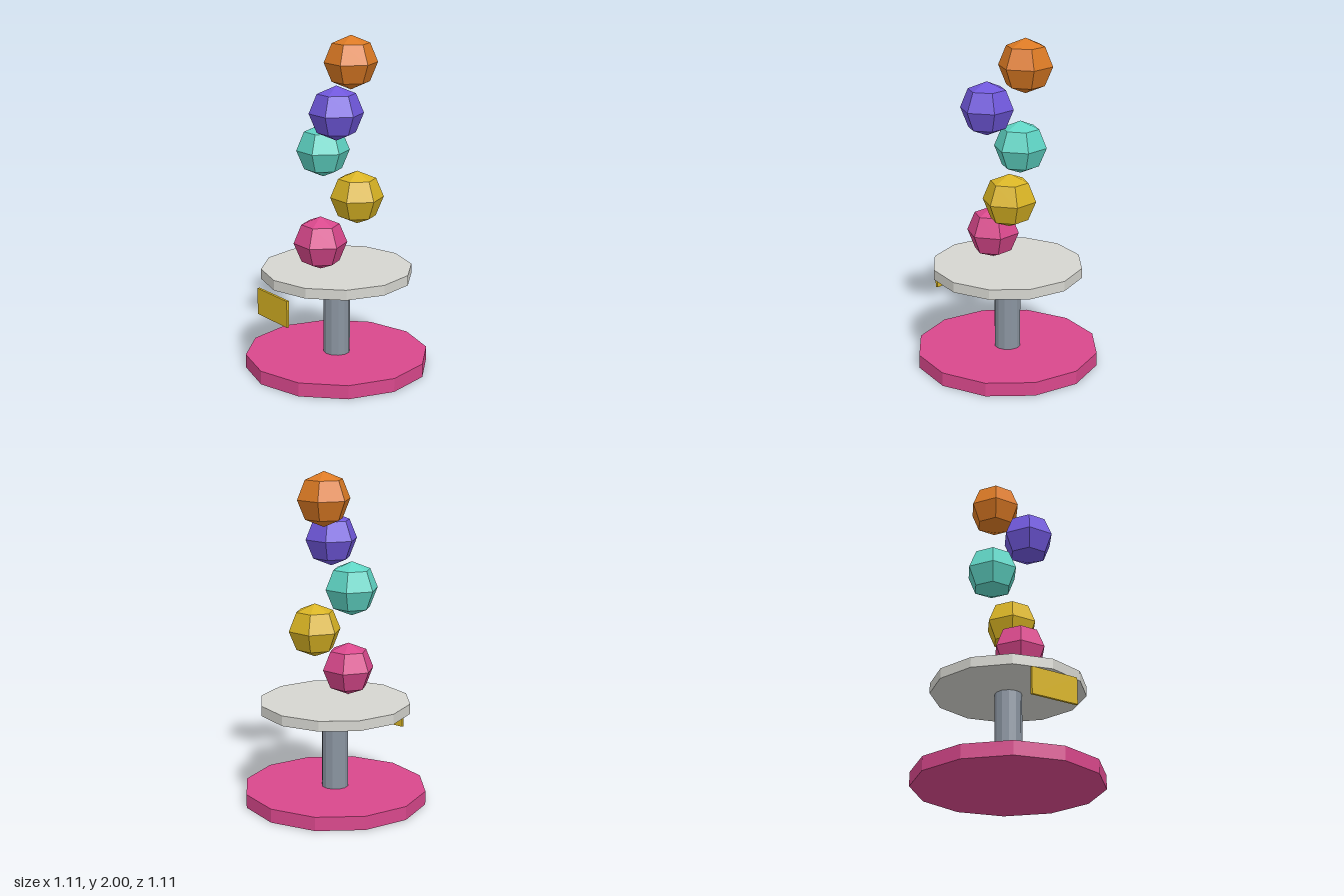
import * as THREE from 'three';

const material = (name, color) => {
  const m = new THREE.MeshStandardMaterial({ color, flatShading: true });
  m.name = name;
  return m;
};

export function createModel() {
  const pink = material('pink', 0xd9488c);
  const yellow = material('yellow', 0xd9b424);
  const teal = material('teal', 0x5fd4c4);
  const violet = material('violet', 0x7058dc);
  const orange = material('orange', 0xdc7a24);
  const paleGrey = material('pale grey', 0xd6d6d0);
  const steel = material('steel', 0x8a94a0);

  const group = new THREE.Group();
  const add = (name, geometry, mat, x, y, z) => {
    const mesh = new THREE.Mesh(geometry, mat);
    mesh.name = name;
    mesh.position.set(x, y, z);
    group.add(mesh);
  };
  // Twelve-sided disc or post between two heights
  const drum = (name, mat, radius, y0, y1) =>
    add(name, new THREE.CylinderGeometry(radius, radius, y1 - y0, 12), mat, 0, (y0 + y1) / 2, 0);

  // Stand
  drum('base', pink, 0.555, 0, 0.083);
  drum('post', steel, 0.08, 0.083, 0.561);
  drum('plate', paleGrey, 0.455, 0.561, 0.622);

  // Sign floating at the front, under the plate rim
  add('sign', new THREE.BoxGeometry(0.302, 0.16, 0.016), yellow, 0, 0.458, 0.463);

  // Stack of floating faceted balls, bottom to top
  const ball = new THREE.SphereGeometry(0.16, 6, 4);
  [
    ['pinkBall', pink, 0, 0.12],
    ['yellowBall', yellow, 0.08, -0.09],
    ['tealBall', teal, -0.122, 0.01],
    ['violetBall', violet, 0.095, 0.074],
    ['orangeBall', orange, -0.022, -0.12],
  ].forEach(([name, mat, x, z], i) => add(name, ball, mat, x, 0.792 + i * 0.262, z));

  return group;
}
